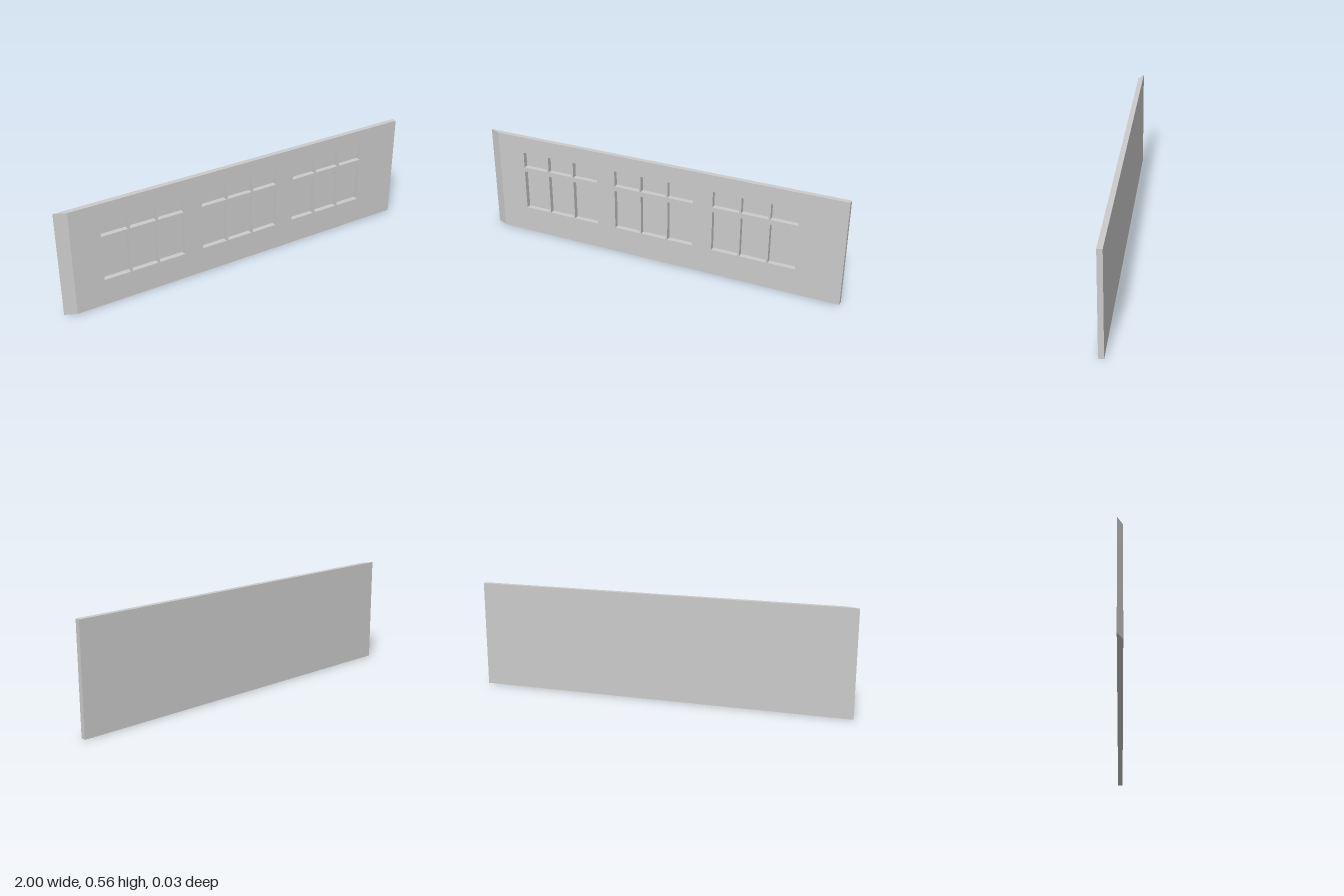
import * as THREE from 'three';

const HEIGHT = 0.565, DEPTH = 0.027, MITRE = 0.06;
const PANE_W = 0.142, PITCH = 0.152;
const BAYS = [-0.786, -0.235, 0.316];            // left edge of each window
const ROWS = [[0.143, 0.362], [0.388, 0.475]];   // bottom and top of each pane row

function rectangle(path, x0, y0, x1, y1) {
  path.moveTo(x0, y0).lineTo(x1, y0).lineTo(x1, y1).lineTo(x0, y1).closePath();
  return path;
}

export function createModel() {
  const group = new THREE.Group();
  group.name = 'windowWall';
  const material = new THREE.MeshStandardMaterial({ color: 0xcccccc, flatShading: true });
  const paneMaterial = material.clone();
  paneMaterial.side = THREE.DoubleSide;

  // Wall outline, with one opening per pane
  const outline = rectangle(new THREE.Shape(), -1, 0, 1, HEIGHT);
  BAYS.forEach((bay, b) => {
    for (let i = 0; i < 3; i++) {
      const x0 = bay + i * PITCH;
      ROWS.forEach(([y0, y1], r) => {
        outline.holes.push(rectangle(new THREE.Path(), x0, y0, x0 + PANE_W, y1));

        // Thin pane closing the opening, flush with the back of the wall
        const pane = new THREE.Mesh(new THREE.PlaneGeometry(PANE_W, y1 - y0), paneMaterial);
        pane.name = `${r ? 'upper' : 'lower'}Pane${b * 3 + i + 1}`;
        pane.position.set(x0 + PANE_W / 2, (y0 + y1) / 2, -DEPTH / 2);
        group.add(pane);
      });
    }
  });

  const geometry = new THREE.ExtrudeGeometry(outline, { depth: DEPTH, bevelEnabled: false });
  geometry.translate(0, 0, -DEPTH / 2);

  // Mitre one end: pull its front edge inward
  const p = geometry.attributes.position;
  for (let i = 0; i < p.count; i++) {
    if (p.getX(i) < -0.99 && p.getZ(i) > 0) p.setX(i, -1 + MITRE);
  }
  geometry.computeVertexNormals();

  const wall = new THREE.Mesh(geometry, material);
  wall.name = 'wall';
  group.add(wall);
  return group;
}
